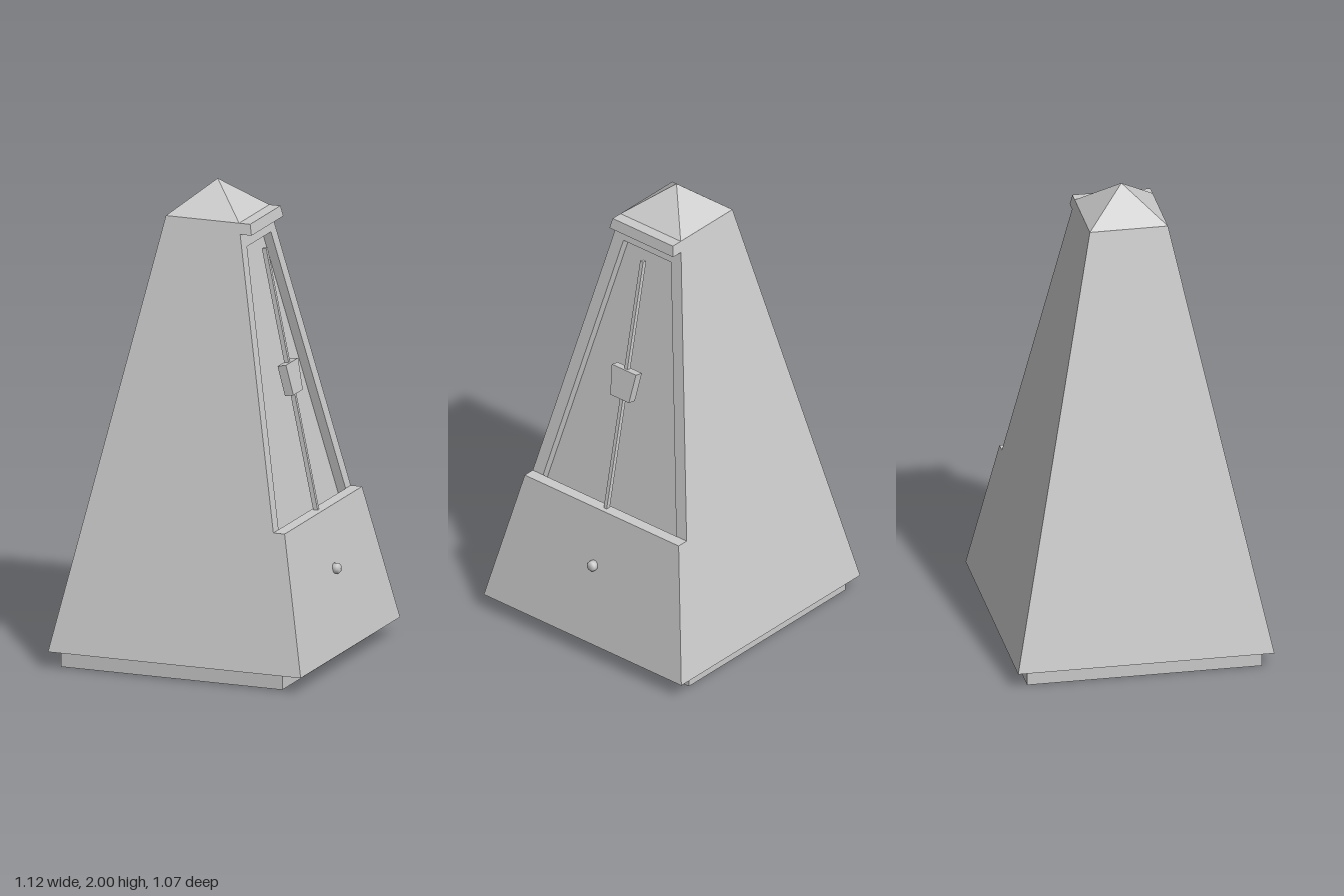
import * as THREE from 'three';

const material = new THREE.MeshStandardMaterial({ color: 0xcccccc });
const flatMaterial = new THREE.MeshStandardMaterial({ color: 0xcccccc, flatShading: true });

// Sloping outlines of the case as functions of height
const front = y => 0.56 - 0.21 * (y - 0.07);
const back = y => -0.56 + 0.206 * (y - 0.07);
const half = y => 0.535 - 0.2072 * (y - 0.07);
const off = d => y => front(y) + d;
const neg = f => y => -f(y);

// A box whose sides follow x0(y)..x1(y) and z0(y)..z1(y);
// tilt makes its ends square to the sloping front
function slab(name, yA, yB, x0, x1, z0, z1, tilt = 0) {
  const geo = new THREE.BoxGeometry(1, 1, 1);
  const p = geo.attributes.position;
  for (let i = 0; i < p.count; i++) {
    const y = p.getY(i) < 0 ? yA : yB;
    const x = p.getX(i) < 0 ? x0(y) : x1(y);
    const z = p.getZ(i) < 0 ? z0(y) : z1(y);
    p.setXYZ(i, x, y + tilt * (x - front(y)), z);
  }
  geo.computeVertexNormals();
  const mesh = new THREE.Mesh(geo, material);
  mesh.name = name;
  return mesh;
}

export function createModel() {
  const model = new THREE.Group();
  model.name = 'metronome';

  // Plinth
  const base = new THREE.Mesh(new THREE.BoxGeometry(0.98, 0.07, 0.98), material);
  base.position.set(-0.03, 0.035, 0);
  base.name = 'base';
  model.add(base);

  // Tapered case; its front face is the floor of the recess
  const body = new THREE.Group();
  body.name = 'case';
  const inner = y => half(y) - 0.056;
  const floor = off(-0.09), frame = off(-0.05);
  body.add(
    slab('caseCore', 0.07, 1.865, back, floor, neg(half), half),
    slab('lowerFront', 0.07, 0.43, floor, front, neg(half), half),
    slab('lowerFrontLedge', 0.43, 0.64, frame, front, neg(half), half),
    slab('frameLeftRail', 0.43, 1.76, floor, frame, neg(half), neg(inner)),
    slab('frameRightRail', 0.43, 1.76, floor, frame, inner, half),
    slab('frameHeader', 1.76, 1.865, floor, frame, neg(half), half),
    slab('topLip', 1.82, 1.865, frame, front, neg(half), half)
  );
  model.add(body);

  // Pyramid roof
  const roofGeo = new THREE.ConeGeometry(Math.SQRT1_2, 1, 4).rotateY(Math.PI / 4);
  const roof = new THREE.Mesh(roofGeo, flatMaterial);
  roof.scale.set(0.324, 0.135, 0.326);
  roof.position.set(-0.028, 1.9325, 0);
  roof.name = 'roof';
  model.add(roof);

  // Pendulum rod and its sliding weight
  const rodHalf = () => 0.008;
  const weightHalf = y => 0.05 + 0.115 * (y - 1.125);
  model.add(
    slab('pendulumRod', 0.63, 1.732, off(-0.04), off(-0.021), neg(rodHalf), rodHalf, 0.21),
    slab('pendulumWeight', 1.13, 1.258, off(-0.046), off(-0.009), neg(weightHalf), weightHalf, 0.21)
  );

  // Winding knob with a chamfered end
  const profile = [[0, -0.02], [0.022, -0.02], [0.022, 0.008], [0.014, 0.016], [0, 0.016]];
  const knobGeo = new THREE.LatheGeometry(profile.map(q => new THREE.Vector2(...q)), 20);
  const knob = new THREE.Mesh(knobGeo, material);
  knob.rotation.z = -Math.PI / 2;
  knob.position.set(0.5, 0.4, 0);
  knob.name = 'knob';
  model.add(knob);

  return model;
}
